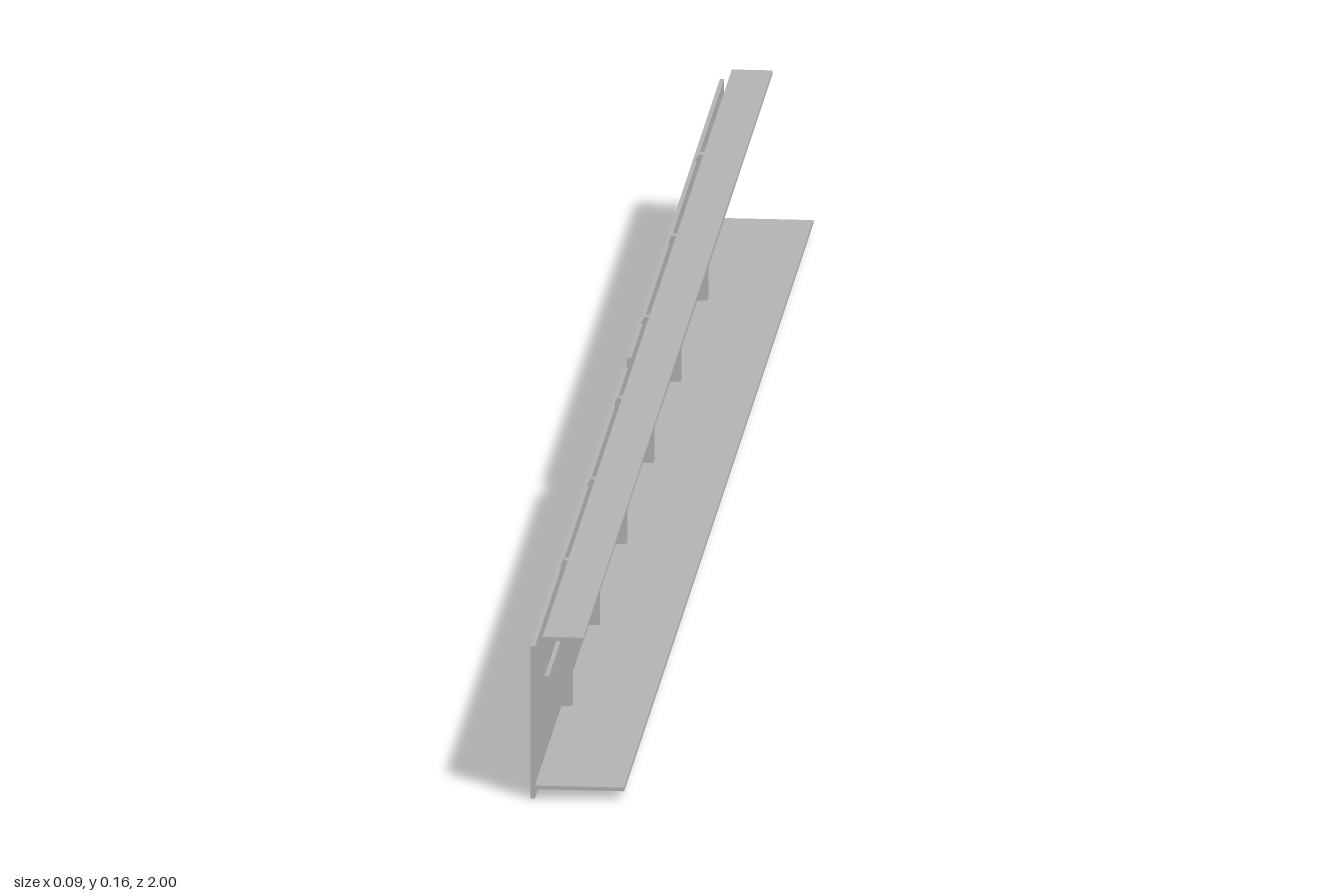
import * as THREE from 'three';

const SEAM = 0.0015;
const JOINTS = [-1, -0.143, 0.714, 1];

export function createModel() {
  const model = new THREE.Group();
  model.name = 'channelRail';
  const steel = new THREE.MeshStandardMaterial({ color: 0xb3b3b3 });
  steel.name = 'grey steel';

  const add = (name, geometry) => {
    const mesh = new THREE.Mesh(geometry, steel);
    mesh.name = name;
    model.add(mesh);
  };
  // box given by its lower and upper limits
  const addBox = (name, x0, x1, y0, y1, z0, z1) => {
    const g = new THREE.BoxGeometry(x1 - x0, y1 - y0, z1 - z0);
    add(name, g.translate((x0 + x1) / 2, (y0 + y1) / 2, (z0 + z1) / 2));
  };

  // upright wall in three panels; the one spanning the middle has a notch and two pin holes
  const top = 0.146;
  for (let i = 0; i < 3; i++) {
    const z0 = JOINTS[i] + (i > 0 ? SEAM / 2 : 0);
    const z1 = JOINTS[i + 1] - (i < 2 ? SEAM / 2 : 0);
    const shape = new THREE.Shape();
    shape.moveTo(z0, 0);
    shape.lineTo(z1, 0);
    shape.lineTo(z1, top);
    if (i === 1) {
      shape.lineTo(0.018, top);
      shape.lineTo(0.018, 0.126);
      shape.lineTo(0.014, 0.122);
      shape.lineTo(-0.014, 0.122);
      shape.lineTo(-0.018, 0.126);
      shape.lineTo(-0.018, top);
      for (const z of [-0.1, 0.1]) {
        shape.holes.push(new THREE.Path().absarc(z, 0.139, 0.003, 0, Math.PI * 2, true));
      }
    }
    shape.lineTo(z0, top);
    shape.closePath();
    const g = new THREE.ExtrudeGeometry(shape, { depth: 0.004, bevelEnabled: false, curveSegments: 6 });
    add('wallPanel', g.rotateY(-Math.PI / 2).translate(-0.04, 0, 0));

    // stiffening strip along the inside
    addBox('strip', -0.031, -0.027, 0.082, 0.118, z0, z1);
  }

  // top and bottom flanges
  addBox('bottomFlange', -0.041, 0.043, 0.009, 0.0125, -1, 1);
  addBox('topFlange', -0.033, 0.005, 0.152, 0.1555, -1, 1);

  // ribs with a chamfered outer corner carry the top flange
  const rib = new THREE.Shape([
    [-0.041, 0.011], [-0.03, 0.011], [-0.03, 0.1525], [-0.038, 0.1525], [-0.041, 0.146],
  ].map(([x, y]) => new THREE.Vector2(x, y)));
  for (let i = 0; i < 6; i++) {
    const z = (i - 2.5) * 2 / 7;
    const g = new THREE.ExtrudeGeometry(rib, { depth: 0.01, bevelEnabled: false });
    add('rib', g.translate(0, 0, z - 0.005));
  }
  return model;
}
